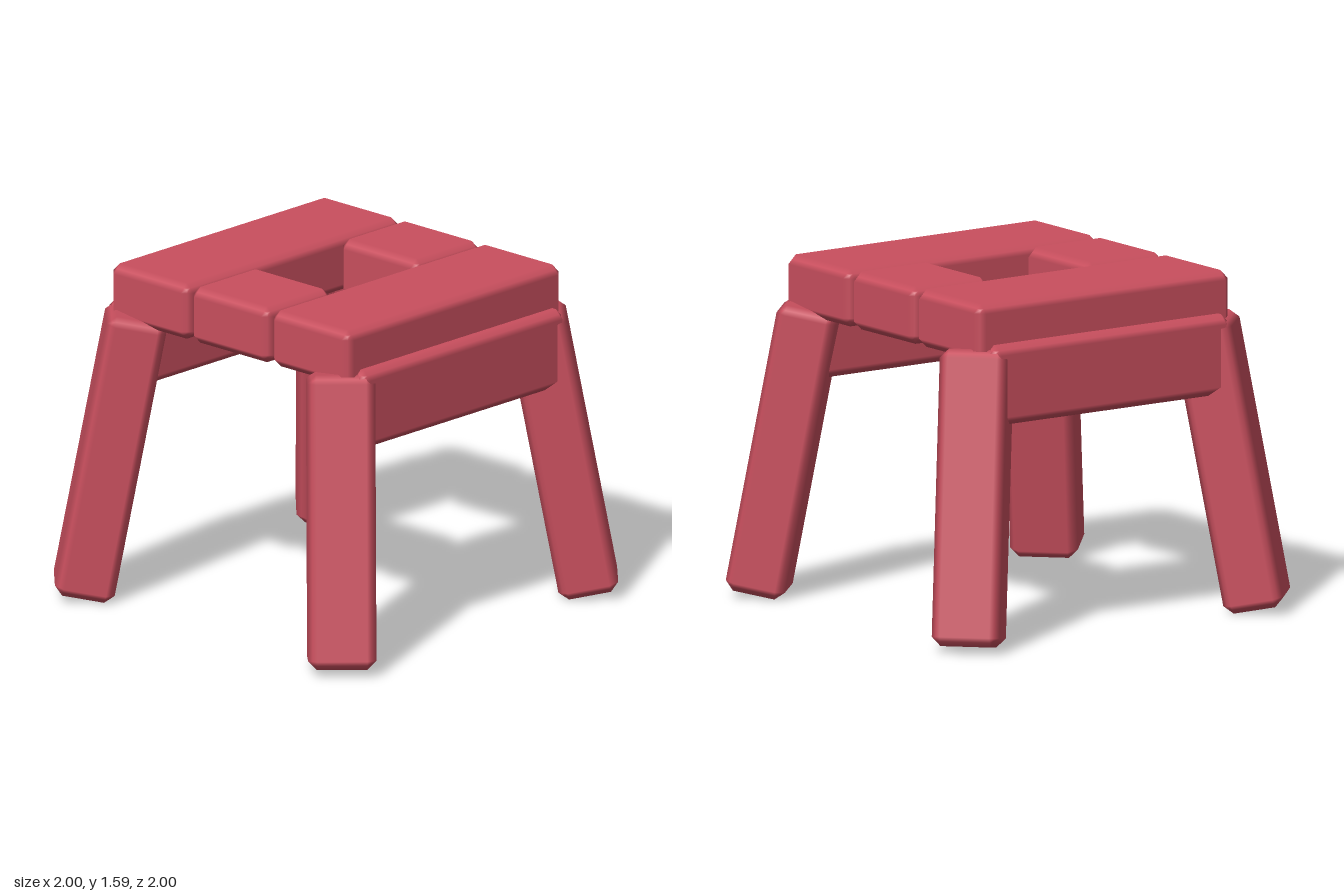
import * as THREE from 'three';

const CHAMFER = 0.042;

// Box with chamfered edges: flat faces, normals blending softly across the chamfers
function chamferBox(w, h, d, c = CHAMFER) {
  const geo = new THREE.BoxGeometry(2, 2, 2, 3, 3, 3);
  const pos = geo.attributes.position, nor = geo.attributes.normal;
  const p = new THREE.Vector3(), m = new THREE.Vector3();
  const outer = (v) => (Math.abs(v) > 0.9 ? Math.sign(v) : 0);
  for (let i = 0; i < pos.count; i++) {
    p.fromBufferAttribute(pos, i);
    m.set(outer(p.x), outer(p.y), outer(p.z));
    const k = c / m.lengthSq(); // 1 on a face, 2 on an edge, 3 on a corner
    pos.setXYZ(i,
      Math.sign(p.x) * (w / 2 - c) + m.x * k,
      Math.sign(p.y) * (h / 2 - c) + m.y * k,
      Math.sign(p.z) * (d / 2 - c) + m.z * k);
    m.normalize();
    nor.setXYZ(i, m.x, m.y, m.z);
  }
  return geo;
}

export function createModel() {
  const model = new THREE.Group();
  model.name = 'stool';
  const red = new THREE.MeshStandardMaterial({ color: 0xc94f5e });
  red.name = 'red paint';

  const add = (name, geo, x, y, z, parent = model) => {
    const mesh = new THREE.Mesh(geo, red);
    mesh.name = name;
    mesh.position.set(x, y, z);
    parent.add(mesh);
    return mesh;
  };

  // Seat: two long planks joined by two short ones, leaving a central opening
  const plank = chamferBox(0.51, 0.27, 1.445);
  const shortPlank = chamferBox(0.508, 0.27, 0.45);
  const apron = chamferBox(0.27, 0.375, 1.36);
  for (const s of [1, -1]) {
    const side = s > 0 ? 'left' : 'right';
    add(`${side}SeatPlank`, plank, s * 0.511, 1.457, 0);
    add(s > 0 ? 'frontSeatPlank' : 'backSeatPlank', shortPlank, 0, 1.457, s * 0.497);
    // Rail under each long plank
    add(`${side}Apron`, apron, s * 0.695, 1.2125, 0);
  }

  // Legs: turned to the diagonals and splayed outwards
  const leg = chamferBox(0.315, 1.369, 0.28);
  ['frontLeftLeg', 'backLeftLeg', 'backRightLeg', 'frontRightLeg'].forEach((name, i) => {
    const corner = new THREE.Group();
    corner.name = `${name}Corner`;
    corner.rotation.y = Math.PI / 4 + i * Math.PI / 2;
    add(name, leg, 0, 0.69, 1.04, corner).rotation.x = -0.185;
    model.add(corner);
  });
  return model;
}
